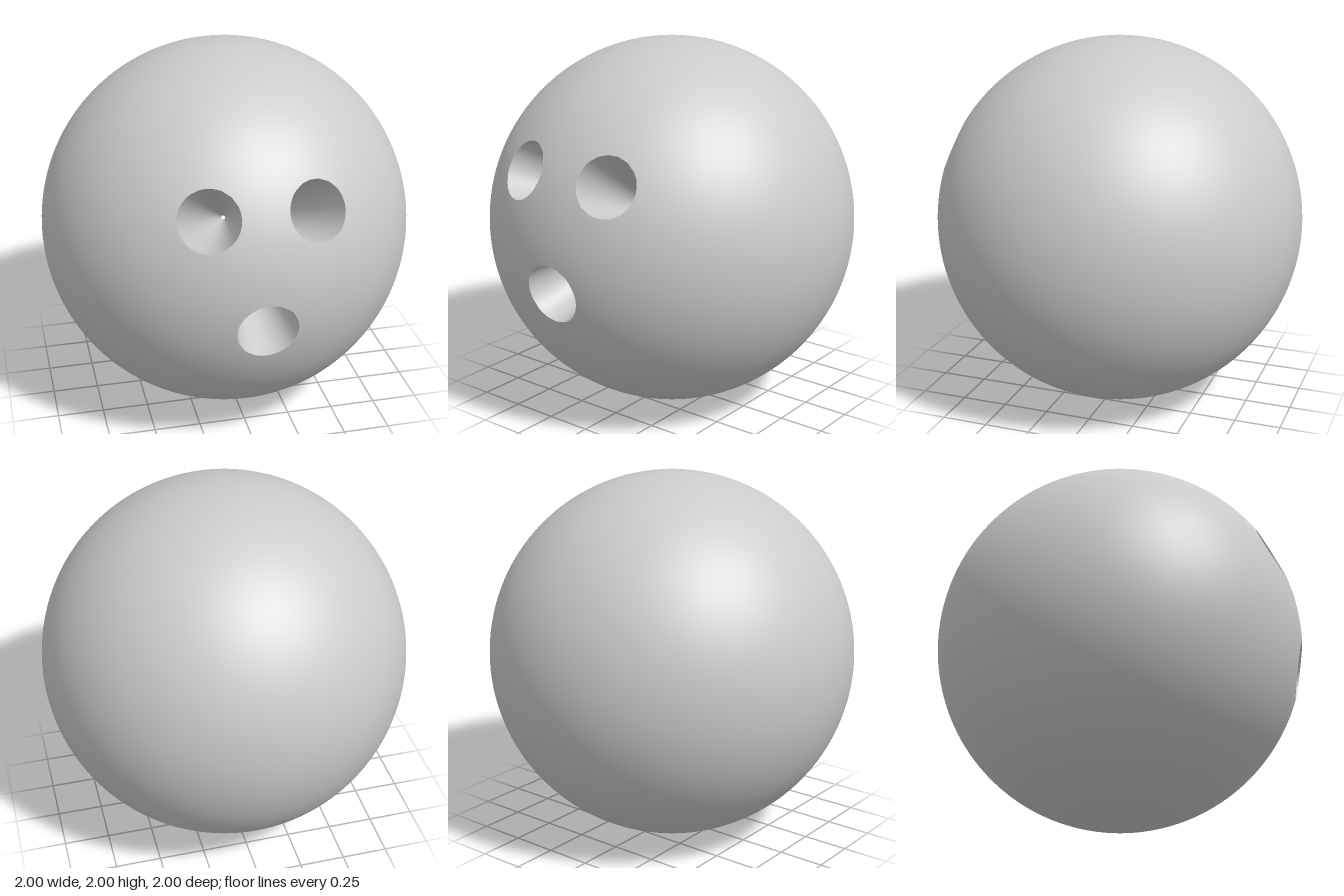
import * as THREE from 'three';

const RIM = Math.asin(0.157); // angular radius of each hole
const HOLES = [
  { name: 'leftFingerHole', dir: new THREE.Vector3(0.273, 0.407, 0.872).normalize() },
  { name: 'rightFingerHole', dir: new THREE.Vector3(-0.273, 0.407, 0.872).normalize() },
  { name: 'thumbHole', dir: new THREE.Vector3(0, -0.172, 0.985).normalize() },
];

// Unit sphere with round openings: vertices inside a hole slide out to its rim,
// and triangles lying wholly inside are dropped.
function drilledSphere() {
  const geo = new THREE.SphereGeometry(1, 128, 96);
  const pos = geo.attributes.position;
  const inside = [];
  const v = new THREE.Vector3();
  const axis = new THREE.Vector3();
  for (let i = 0; i < pos.count; i++) {
    v.fromBufferAttribute(pos, i).normalize();
    const hole = HOLES.findIndex((h) => h.dir.angleTo(v) < RIM);
    inside.push(hole);
    if (hole < 0) continue;
    const dir = HOLES[hole].dir;
    axis.crossVectors(dir, v).normalize();
    v.copy(dir).applyAxisAngle(axis, RIM);
    pos.setXYZ(i, v.x, v.y, v.z);
    geo.attributes.normal.setXYZ(i, v.x, v.y, v.z);
  }
  const kept = [];
  const index = geo.index.array;
  for (let i = 0; i < index.length; i += 3) {
    const tri = [index[i], index[i + 1], index[i + 2]];
    if (tri.some((k) => inside[k] < 0)) kept.push(...tri);
  }
  geo.setIndex(kept);
  return geo;
}

export function createModel() {
  const model = new THREE.Group();
  model.name = 'ball';

  // Ball surface
  const shell = new THREE.Mesh(drilledSphere(), new THREE.MeshStandardMaterial({ color: 0xcccccc }));
  shell.name = 'shell';
  shell.position.y = 1;
  model.add(shell);

  // Deep tapering holes pointing at the centre, walls facing inwards
  const wall = new THREE.LatheGeometry([
    new THREE.Vector2(Math.sin(RIM), Math.cos(RIM)),
    new THREE.Vector2(0.01, 0.06),
  ], 48);
  const wallMaterial = new THREE.MeshStandardMaterial({ color: 0xcccccc, side: THREE.DoubleSide });
  const up = new THREE.Vector3(0, 1, 0);
  for (const { name, dir } of HOLES) {
    const hole = new THREE.Mesh(wall, wallMaterial);
    hole.name = name;
    hole.quaternion.setFromUnitVectors(up, dir);
    hole.position.y = 1;
    model.add(hole);
  }
  return model;
}
